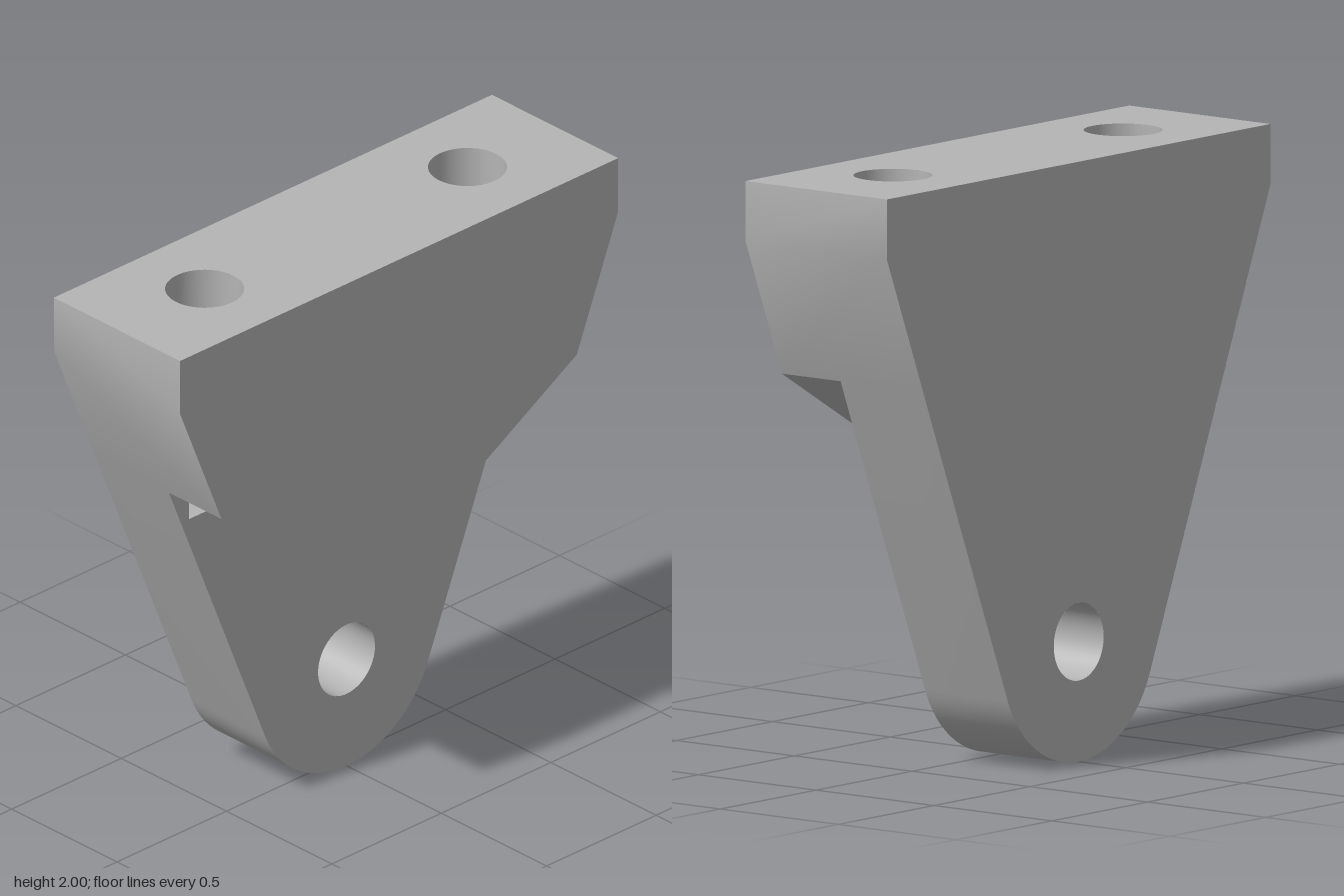
import * as THREE from 'three';
import { toCreasedNormals } from 'three/addons/utils/BufferGeometryUtils.js';

// Main dimensions
const X0 = -0.3, XM = 0.05, X1 = 0.3;          // back of plate, step, outer face of head
const PIN_Y = 0.4, FOOT_R = 0.4, HOLE_R = 0.13;
const BOLT_Z = 0.6, FLOOR_Y = 1.2;             // blind bolt holes
const APEX_Y = 0.866, SLOPE = Math.tan(Math.PI / 6);
const veeY = z => APEX_Y + SLOPE * z;
const EDGE = [0.811, veeY(0.811)];             // where the vee meets the sloped side
const veeZ = (FLOOR_Y - APEX_Y) / SLOPE;       // where the vee reaches the hole floor
const T0 = Math.acos(XM / HOLE_R);             // hole crossing the step plane
const TK = Math.asin((veeZ - BOLT_Z) / HOLE_R);
const slotZ = BOLT_Z + HOLE_R * Math.sin(T0);

const steel = new THREE.MeshStandardMaterial({ color: 0xb4b4b4, side: THREE.DoubleSide });
steel.name = 'grey metal';

// Evenly spaced values of f between two angles
function sweep(from, to, n, f) {
  return Array.from({ length: n + 1 }, (_, i) => f(from + (to - from) * i / n));
}

function makeMesh(name, geometry) {
  const mesh = new THREE.Mesh(toCreasedNormals(geometry, 0.5), steel);
  mesh.name = name;
  return mesh;
}

function reverse(index) {
  for (let i = 0; i < index.length; i += 3) [index[i], index[i + 1]] = [index[i + 1], index[i]];
}

// Flat outline placed in space by a mapping function
function panel(name, points, place, flip, holes = []) {
  const shape = new THREE.Shape(points.map(p => new THREE.Vector2(...p)));
  for (const [u, v] of holes) {
    shape.holes.push(new THREE.Path().absarc(u, v, HOLE_R, 0, Math.PI * 2, true));
  }
  const geo = new THREE.ShapeGeometry(shape, 32);
  const pos = geo.attributes.position;
  for (let i = 0; i < pos.count; i++) pos.setXYZ(i, ...place(pos.getX(i), pos.getY(i)));
  if (flip) reverse(geo.index.array);
  geo.deleteAttribute('uv');
  geo.computeVertexNormals();
  return makeMesh(name, geo);
}

// Wall between two matching point rows
function ribbon(name, a, b, flip = false) {
  const index = [], n = a.length;
  for (let i = 0; i < n - 1; i++) index.push(i, i + 1, n + i + 1, i, n + i + 1, n + i);
  if (flip) reverse(index);
  const geo = new THREE.BufferGeometry();
  geo.setAttribute('position', new THREE.Float32BufferAttribute([...a, ...b].flat(), 3));
  geo.setIndex(index);
  geo.computeVertexNormals();
  return makeMesh(name, geo);
}

// Wall following a z,y path across x
function rim(name, path, xa, xb, flip) {
  return ribbon(name, path.map(([z, y]) => [xa, y, z]), path.map(([z, y]) => [xb, y, z]), flip);
}

const mirror = half => [...half, ...half.slice().reverse().map(([z, y]) => [-z, y])];

export function createModel() {
  const group = new THREE.Group();
  group.name = 'mountingBracket';

  // Half outlines in z,y
  const tangent = Math.atan2(1.8 - PIN_Y, 1) - Math.acos(FOOT_R / Math.hypot(1, 1.8 - PIN_Y));
  const foot = sweep(tangent, -Math.PI / 2, 16,
    t => [FOOT_R * Math.cos(t), PIN_Y + FOOT_R * Math.sin(t)]);
  const headSide = [[1, 2], [1, 1.8], EDGE];
  const legSide = [EDGE, ...foot];
  const vee = [[0, APEX_Y], [veeZ, FLOOR_Y], [slotZ, FLOOR_Y], [slotZ, veeY(slotZ)]];
  const pin = [[0, PIN_Y]];
  const atX = x => (z, y) => [x, y, z];

  // Large side faces
  group.add(panel('plateBack', mirror([[1, 2], [1, 1.8], ...foot.slice(0, -1), [0.0001, 0]]),
    atX(X0), false, pin));
  group.add(panel('headFace', [...headSide, [0, APEX_Y],
    ...headSide.slice().reverse().map(([z, y]) => [-z, y])], atX(X1), true));
  const legHalf = [...vee.slice(1), ...legSide.slice(0, -1)];
  group.add(panel('legFace', [vee[0], ...legHalf, [0, 0],
    ...legHalf.slice().reverse().map(([z, y]) => [-z, y])], atX(XM), true, pin));

  // Top face with two bolt openings
  group.add(panel('topFace', [[X0, -1], [X1, -1], [X1, 1], [X0, 1]], (x, z) => [x, 2, z], true,
    [[0, BOLT_Z], [0, -BOLT_Z]]));

  // Pin hole through the leg
  const pinPath = sweep(0, Math.PI * 2, 48,
    t => [HOLE_R * Math.cos(t), PIN_Y + HOLE_R * Math.sin(t)]);
  group.add(rim('pinHole', pinPath, X0, XM));

  // Mirrored rims, vee underside and bolt holes
  const boltXZ = t => [HOLE_R * Math.cos(t), BOLT_Z + HOLE_R * Math.sin(t)];
  for (const s of [1, -1]) {
    const side = s > 0 ? 'front' : 'rear';
    const flip = s < 0;
    const flipZ = path => path.map(([z, y]) => [s * z, y]);
    group.add(rim(side + 'HeadRim', flipZ(headSide), X0, X1, flip));
    group.add(rim(side + 'LegRim', flipZ(legSide), X0, XM, flip));

    // Underside of the head, cut where the bolt hole breaks through
    group.add(panel(side + 'VeeUnderside',
      [[XM, 0], [X1, 0], [X1, EDGE[0]], [XM, EDGE[0]], ...sweep(T0, TK, 14, boltXZ), [XM, veeZ]],
      (x, z) => [x, veeY(z), s * z], flip));

    // Bolt hole floor and walls
    group.add(panel(side + 'BoltHoleFloor',
      [...sweep(T0, Math.PI * 2 + TK, 40, boltXZ), [XM, veeZ]],
      (x, z) => [x, FLOOR_Y, s * z], !flip));
    const wall = (from, to, n, bottom) => {
      const path = sweep(from, to, n, boltXZ);
      group.add(ribbon(side + 'BoltHoleWall', path.map(([x, z]) => [x, bottom(z), s * z]),
        path.map(([x, z]) => [x, 2, s * z]), flip));
    };
    wall(T0, Math.PI * 2 + TK, 40, () => FLOOR_Y);
    wall(TK, T0, 14, veeY);
  }
  return group;
}
